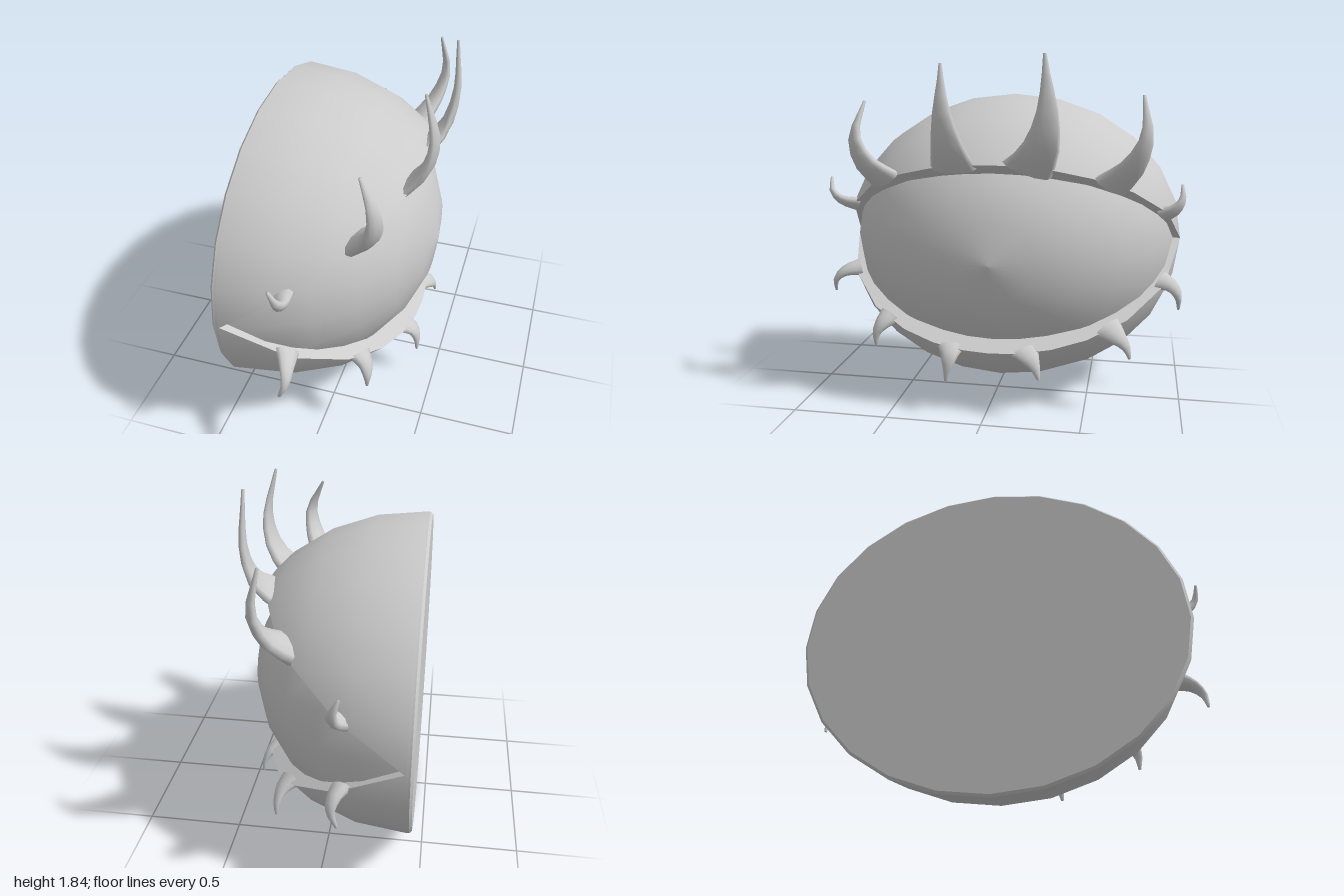
import * as THREE from 'three';
import { mergeVertices, toCreasedNormals } from 'three/addons/utils/BufferGeometryUtils.js';

const CY = 0.82, CZ = -0.025, HINGE = -0.41, RAD = Math.PI / 180;
const LID = { cx: -0.42, r: [0.98, 0.812, 0.965] };
const BALL = { cx: -0.45, r: [0.89, 0.785, 0.93] };
const RIM = { cx: -0.45, r: [0.875, 0.77, 0.91] };
const mat = new THREE.MeshStandardMaterial({ color: 0xcccccc });

function add(group, name, geometry) {
  const mesh = new THREE.Mesh(geometry, mat);
  mesh.name = name;
  group.add(mesh);
  return mesh;
}

// Surface from columns of Vector3, all the same length
function grid(cols, flip = false) {
  const n = cols[0].length, index = [];
  for (let i = 0; i < cols.length - 1; i++) {
    for (let j = 0; j < n - 1; j++) {
      const a = i * n + j, b = a + 1, c = a + n, d = c + 1;
      index.push(...(flip ? [a, c, b, b, c, d] : [a, b, c, b, d, c]));
    }
  }
  const g = new THREE.BufferGeometry().setFromPoints(cols.flat());
  g.setIndex(index);
  g.computeVertexNormals();
  return g;
}

// Point on an ellipsoid whose pole faces +x; side is +1 above, -1 below
function onShell(e, theta, alpha, side) {
  return new THREE.Vector3(
    e.cx + e.r[0] * Math.sin(alpha),
    CY + side * e.r[1] * Math.cos(alpha) * Math.sin(theta),
    CZ + e.r[2] * Math.cos(alpha) * Math.cos(theta));
}

// Polar angle where the shell meets the sloping plane of the lid opening
function cutAngle(e, theta, slope) {
  let lo = 0, hi = Math.PI / 2;
  for (let k = 0; k < 40; k++) {
    const m = (lo + hi) / 2, p = onShell(e, theta, m, 1);
    if (p.y - CY > slope * (p.x - HINGE)) lo = m; else hi = m;
  }
  return lo;
}

function eyelid(group, name, side, slope) {
  const skin = [], rim = [];
  for (let i = 0; i <= 12; i++) {
    const theta = i * 15 * RAD;
    const cut = cutAngle(LID, theta, slope);
    skin.push([0, 15, 30, 45, 60].map(d => onShell(LID, theta, Math.min(d * RAD, cut), side)));
    rim.push([onShell(LID, theta, cut, side),
      onShell(RIM, theta, cutAngle(RIM, theta, slope), side)]);
  }
  const g = grid(skin, side < 0);
  // smooth ellipsoid normals
  skin.flat().forEach((p, i) => {
    const n = new THREE.Vector3((p.x - LID.cx) / LID.r[0] ** 2,
      (p.y - CY) / LID.r[1] ** 2, (p.z - CZ) / LID.r[2] ** 2).normalize();
    g.attributes.normal.setXYZ(i, n.x, n.y, n.z);
  });
  add(group, name, g);
  add(group, name + 'Rim', grid(rim, side < 0));
}

// Tapered curved lash, broad along the lid rim and thin across it
function lash(group, name, path, width, thick, side) {
  const curve = new THREE.CatmullRomCurve3(path.map(p => new THREE.Vector3(...p)));
  const q = THREE.MathUtils.clamp((path[0][2] - CZ) / 0.965, -0.93, 0.93);
  const du = -0.94 * q / Math.sqrt(1 - q * q);
  const along = new THREE.Vector3(du * 0.85, side * du * 0.53, 1);
  const STEPS = 7, SIDES = 10, cols = [];
  for (let i = 0; i <= STEPS + 1; i++) {
    const t = Math.min(i / STEPS, 1), c = curve.getPointAt(t), T = curve.getTangentAt(t);
    const S = along.clone().addScaledVector(T, -along.dot(T)).normalize();
    const N = T.clone().cross(S);
    const end = i > STEPS ? 0 : 1;
    const w = end * (0.008 + width / 2 * (1 - t) ** 1.25);
    const h = end * (0.007 + thick / 2 * (1 - t));
    const ring = [];
    for (let j = 0; j <= SIDES; j++) {
      const a = (j % SIDES) / SIDES * Math.PI * 2;
      ring.push(c.clone().addScaledVector(S, w * Math.cos(a)).addScaledVector(N, h * Math.sin(a)));
    }
    cols.push(ring);
  }
  const g = grid(cols);
  g.deleteAttribute('normal');
  const merged = mergeVertices(g, 1e-5);
  merged.computeVertexNormals();
  add(group, name, merged);
}

// Lathe turned so that its axis runs along x
function turned(points, ry, rz) {
  const g = new THREE.LatheGeometry(points.map(p => new THREE.Vector2(...p)), 24);
  return g.rotateZ(-Math.PI / 2).scale(1, ry, rz).translate(0, CY, CZ);
}

export function createModel() {
  const group = new THREE.Group();
  group.name = 'eye';

  // Eyeball dome
  const dome = [];
  for (let d = 0; d <= 90; d += 15) {
    dome.push([Math.max(Math.cos(d * RAD), 0), BALL.cx + BALL.r[0] * Math.sin(d * RAD)]);
  }
  add(group, 'eyeball', turned(dome, BALL.r[1], BALL.r[2]));

  // Flat back with a small bevelled edge
  const back = turned([[0, -0.45], [0.985, -0.45], [1, -0.437], [1, -0.42]], LID.r[1], LID.r[2]);
  add(group, 'backPlate', toCreasedNormals(back, 0.5));

  // Lids
  eyelid(group, 'upperLid', 1, 0.637);
  eyelid(group, 'lowerLid', -1, 0.608);

  // Upper lashes: path, width, thickness
  const upper = [
    [[[-0.12, 1.01, 0.83], [-0.09, 1.04, 0.93], [-0.09, 1.09, 0.98], [-0.12, 1.165, 0.992]], 0.11, 0.06],
    [[[0.18, 1.2, 0.57], [0.25, 1.3, 0.66], [0.275, 1.43, 0.7], [0.2, 1.61, 0.665]], 0.2, 0.08],
    [[[0.31, 1.285, 0.17], [0.385, 1.38, 0.18], [0.425, 1.55, 0.2], [0.375, 1.8, 0.215]], 0.23, 0.06],
    [[[0.31, 1.285, -0.2], [0.39, 1.38, -0.27], [0.43, 1.55, -0.31], [0.42, 1.845, -0.295]], 0.25, 0.06],
    [[[0.18, 1.2, -0.61], [0.25, 1.3, -0.71], [0.29, 1.45, -0.775], [0.255, 1.65, -0.755]], 0.2, 0.08],
    [[[-0.12, 1.01, -0.88], [-0.09, 1.04, -0.94], [-0.09, 1.09, -0.975], [-0.12, 1.17, -0.975]], 0.11, 0.06],
  ];
  // Lower lashes
  const lower = [
    [[[-0.12, 0.64, 0.83], [-0.09, 0.62, 0.92], [-0.08, 0.57, 0.975], [-0.11, 0.495, 0.99]], 0.11, 0.06],
    [[[0.17, 0.45, 0.57], [0.21, 0.42, 0.6], [0.23, 0.37, 0.63], [0.23, 0.295, 0.635]], 0.12, 0.07],
    [[[0.32, 0.35, 0.19], [0.37, 0.325, 0.19], [0.395, 0.27, 0.195], [0.4, 0.19, 0.205]], 0.13, 0.05],
    [[[0.32, 0.35, -0.2], [0.365, 0.33, -0.23], [0.39, 0.29, -0.26], [0.4, 0.23, -0.28]], 0.14, 0.05],
    [[[0.17, 0.45, -0.61], [0.21, 0.42, -0.66], [0.23, 0.37, -0.71], [0.23, 0.31, -0.73]], 0.15, 0.07],
    [[[-0.12, 0.64, -0.88], [-0.09, 0.62, -0.94], [-0.08, 0.57, -0.975], [-0.11, 0.485, -0.982]], 0.11, 0.06],
  ];
  upper.forEach(([p, w, t], i) => lash(group, 'upperLash' + (i + 1), p, w, t, 1));
  lower.forEach(([p, w, t], i) => lash(group, 'lowerLash' + (i + 1), p, w, t, -1));
  return group;
}
